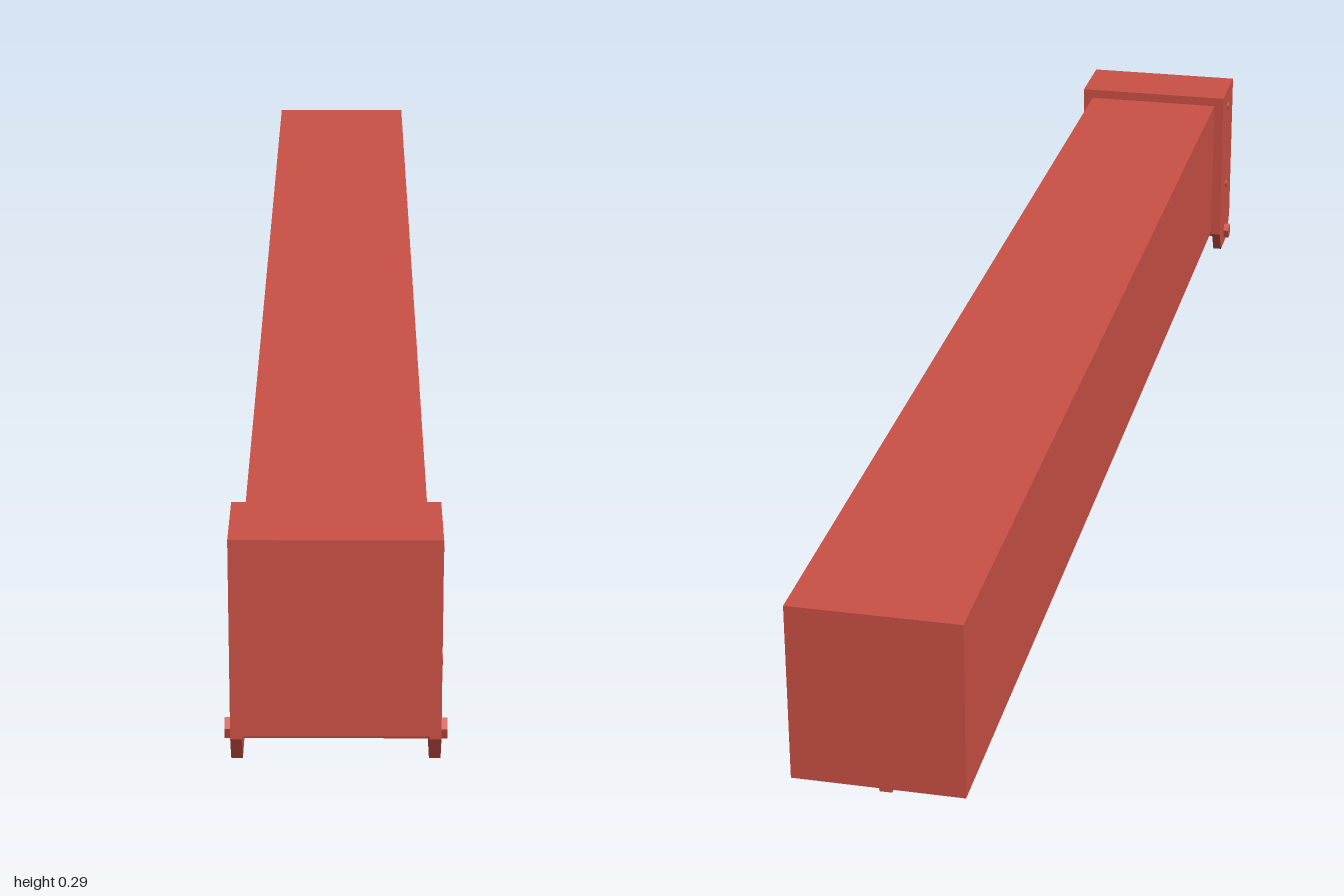
import * as THREE from 'three';

export function createModel() {
  const root = new THREE.Group();
  const red = new THREE.MeshStandardMaterial({ color: 0xcb5145 });

  const add = (name, geometry, x, y, z) => {
    const mesh = new THREE.Mesh(geometry, red);
    mesh.name = name;
    mesh.position.set(x, y, z);
    root.add(mesh);
    return mesh;
  };

  // Five-sided bar along z, one edge pointing up
  const pentagonBar = (radius, length) => {
    const g = new THREE.CylinderGeometry(radius, radius, length, 5).toNonIndexed();
    g.rotateX(-Math.PI / 2);
    g.computeBoundingBox();
    if (g.boundingBox.max.y < radius * 0.95) g.rotateZ(Math.PI);
    g.computeVertexNormals();
    return g;
  };

  const headZ = 0.943;
  const rodY = 0.0227;

  // Long beam and its end block
  add('beam', new THREE.BoxGeometry(0.22, 0.24, 1.886), 0, 0.16, -0.057);
  add('endBlock', new THREE.BoxGeometry(0.224, 0.255, 0.114), 0, 0.1675, headZ);

  // Side plates with tapered lower ends
  const plate = new THREE.Shape([
    [-0.057, 0.295], [-0.057, 0.036], [-0.036, 0], [0.036, 0], [0.057, 0.036], [0.057, 0.295],
  ].map(([z, y]) => new THREE.Vector2(z, y)));
  const plateGeometry = new THREE.ExtrudeGeometry(plate, { depth: 0.014, bevelEnabled: false });
  plateGeometry.translate(0, 0, -0.007);
  plateGeometry.rotateY(Math.PI / 2);

  for (const side of [1, -1]) {
    const label = side > 0 ? 'left' : 'right';
    add(label + 'SidePlate', plateGeometry, side * 0.119, 0, headZ);
    // Small bolt heads on the plate
    for (const y of [0.262, 0.114]) {
      const bolt = pentagonBar(0.0065, 0.008).rotateY(Math.PI / 2);
      add(label + 'Bolt', bolt, side * 0.1245, y, headZ);
    }
  }

  // Cross pin through the plates and the long rod under the beam
  add('crossPin', pentagonBar(0.0133, 0.27).rotateY(Math.PI / 2), 0, rodY, headZ);
  add('longRod', pentagonBar(0.0133, 1.908), 0, rodY, -0.011);

  return root;
}
